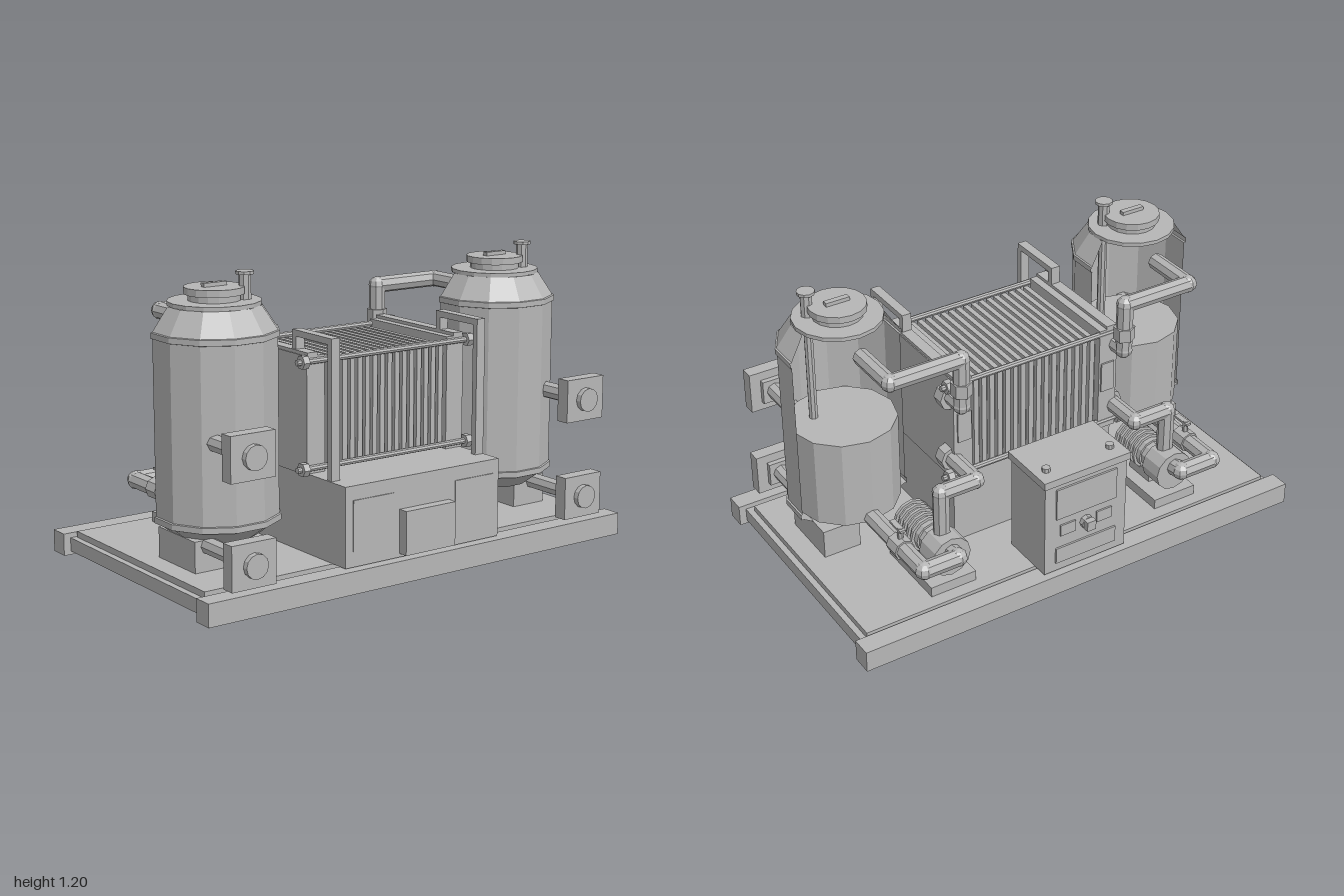
import * as THREE from 'three';

const grey = new THREE.MeshStandardMaterial({ color: 0xb6b6b6, flatShading: true, side: THREE.DoubleSide });
grey.name = 'light grey';

export function createModel() {
  const root = new THREE.Group();
  root.name = 'flowBatterySkid';

  const add = (name, geo, x = 0, y = 0, z = 0, parent = root) => {
    const m = new THREE.Mesh(geo, grey);
    m.name = name;
    m.position.set(x, y, z);
    parent.add(m);
    return m;
  };
  // box given by its min and max on each axis
  const box = (name, x0, x1, y0, y1, z0, z1, parent = root) =>
    add(name, new THREE.BoxGeometry(Math.abs(x1 - x0), y1 - y0, z1 - z0), (x0 + x1) / 2, (y0 + y1) / 2, (z0 + z1) / 2, parent);
  // cylinder between two points
  const rod = (name, a, b, r, sides = 8, parent = root) => {
    const p = new THREE.Vector3(...a), q = new THREE.Vector3(...b);
    const d = q.clone().sub(p);
    const m = add(name, new THREE.CylinderGeometry(r, r, d.length(), sides), 0, 0, 0, parent);
    m.position.copy(p).add(q).multiplyScalar(0.5);
    m.quaternion.setFromUnitVectors(new THREE.Vector3(0, 1, 0), d.normalize());
    return m;
  };
  // run of straight pipes with ball elbows
  const pipe = (name, pts, r, parent = root) => {
    const g = new THREE.Group();
    g.name = name;
    parent.add(g);
    for (let i = 0; i + 1 < pts.length; i++) {
      rod('pipeRun', pts[i], pts[i + 1], r, 8, g);
      if (i > 0) add('elbow', new THREE.SphereGeometry(r * 1.06, 8, 6), ...pts[i], g);
    }
  };

  // skid base
  box('frontBeam', -1, 1, 0.005, 0.095, 0.5, 0.582);
  box('backBeam', -1, 1, 0.005, 0.095, -0.578, -0.494);
  for (const x of [-0.935, -0.345, 0.345, 0.935]) box('crossBeam', x - 0.035, x + 0.035, 0.02, 0.075, -0.5, 0.5);
  box('deckPlate', -0.945, 0.945, 0.075, 0.1, -0.484, 0.47);

  // stack cabinet with front panels
  box('stackCabinet', -0.375, 0.37, 0.1, 0.416, -0.172, 0.55);
  box('junctionBox', -0.12, 0.12, 0.115, 0.29, 0.55, 0.592);
  for (const s of [-1, 1]) box('cabinetPanel', s * 0.15, s * 0.34, 0.16, 0.36, 0.55, 0.554);

  // cell stack
  box('cellCore', -0.3, 0.3, 0.46, 0.825, -0.165, 0.285);
  for (let i = 0; i < 16; i++) {
    const x = -0.27 + i * 0.036;
    box('cellPlate', x - 0.011, x + 0.011, 0.43, 0.845, -0.185, 0.305);
  }
  for (const y of [0.438, 0.853]) for (const z of [-0.19, 0.315]) {
    rod('tieRod', [-0.43, y, z], [0.43, y, z], 0.012, 8);
    for (const s of [-1, 1]) rod('nut', [s * 0.385, y, z], [s * 0.412, y, z], 0.028, 6);
  }
  for (const s of [-1, 1]) {
    box('endPlate', s * 0.297, s * 0.38, 0.41, 0.872, -0.197, 0.31);
    box('endPlateRidge', s * 0.33, s * 0.376, 0.872, 0.885, -0.197, 0.31);
    box('endPlateLabel', s * 0.305, s * 0.365, 0.59, 0.72, -0.204, -0.197);
    // lifting frame
    const x = s * 0.35;
    box('frameRail', x - 0.02, x + 0.02, 0.935, 0.96, 0.2, 0.455);
    box('framePost', x - 0.02, x + 0.02, 0.41, 0.94, 0.43, 0.455);
    box('frameStub', x - 0.02, x + 0.02, 0.87, 0.94, 0.2, 0.225);
  }

  // control cabinet at the back
  box('controlCabinet', -0.19, 0.19, 0.1, 0.515, -0.55, -0.31);
  box('controlLid', -0.2, 0.2, 0.515, 0.547, -0.562, -0.3);
  for (const s of [-1, 1]) rod('lidBolt', [s * 0.148, 0.547, -0.49], [s * 0.148, 0.565, -0.49], 0.017);
  box('upperPanel', -0.14, 0.14, 0.35, 0.49, -0.558, -0.55);
  box('lowerPanel', -0.14, 0.14, 0.14, 0.21, -0.558, -0.55);
  rod('switchBase', [0, 0.29, -0.55], [0, 0.29, -0.57], 0.028);
  box('switchKnob', -0.02, 0.02, 0.27, 0.312, -0.595, -0.57);
  for (const s of [-1, 1]) box('switchPlate', s * 0.05, s * 0.12, 0.265, 0.315, -0.557, -0.55);
  box('cableDuct', -0.022, 0.022, 0.1, 0.42, -0.31, -0.17);

  // both tanks share one cutaway shell shape
  const shell = [[0.155, 0.2], [0.235, 0.26], [0.247, 0.262], [0.247, 0.285], [0.24, 0.287], [0.24, 0.963],
    [0.247, 0.965], [0.247, 0.987], [0.24, 0.989], [0.18, 1.08]].map(p => new THREE.Vector2(...p));
  const arc = THREE.MathUtils.degToRad(105);

  for (const s of [-1, 1]) {
    const tank = new THREE.Group();
    tank.name = s > 0 ? 'leftTank' : 'rightTank';
    tank.position.set(s * 0.68, 0, 0.143);
    root.add(tank);
    add('tankShell', new THREE.LatheGeometry(shell, 7, -arc, 2 * arc), 0, 0, 0, tank);
    const disc = (name, r, y0, y1, x = 0, z = 0, n = 16) => rod(name, [x, y0, z], [x, y1, z], r, n, tank);
    disc('liquid', 0.215, 0.26, 0.635, 0, 0, 12);
    disc('tankLid', 0.178, 1.08, 1.096);
    disc('manholeNeck', 0.1, 1.096, 1.12);
    disc('manholeCover', 0.115, 1.12, 1.147);
    box('manholeHandle', -0.05, 0.05, 1.147, 1.162, -0.012, 0.012, tank);
    disc('ventPipe', 0.024, 1.09, 1.19, 0.1, 0.055, 8);
    disc('ventCap', 0.036, 1.19, 1.202, 0.1, 0.055, 10);
    disc('dipTube', 0.018, 0.6, 1.09, 0.1, 0.055, 8);
    box('tankFoot', s * 0.7, s * 0.86, 0.1, 0.222, 0.01, 0.27);

    // front connections
    for (const [y, z] of [[0.602, 0.32], [0.2, 0.27]]) {
      const x = s * 0.8;
      rod('frontPipe', [x, y, z], [x, y, 0.5], 0.034);
      box('flangeBack', x - 0.05, x + 0.05, y - 0.05, y + 0.05, 0.498, 0.522);
      box('flangeBlock', x - 0.096, x + 0.096, y - 0.087, y + 0.087, 0.52, 0.577);
      rod('flangeNozzle', [x, y, 0.577], [x, y, 0.6], 0.048, 12);
    }

    // return pipe from the stack to the tank top
    const xs = s * 0.375, xt = s * 0.68, xp = s * 0.53;
    pipe('returnPipe', [[xt, 1, -0.03], [xt, 1, -0.25], [xs, 1, -0.25], [xs, 0.795, -0.25], [xs, 0.795, -0.15]], 0.034);
    rod('returnValve', [xs, 0.845, -0.25], [xs, 0.9, -0.25], 0.043, 6);
    // feed pipe from the pump to the stack
    pipe('feedPipe', [[xp, 0.29, -0.345], [xp, 0.505, -0.345], [xs, 0.505, -0.345], [xs, 0.505, -0.15]], 0.034);
    for (const y of [0.505, 0.785]) rod('stackFlange', [xs, y, -0.127], [xs, y, -0.178], 0.051, 8);

    // pump
    box('pumpBase', s * 0.43, s * 0.63, 0.1, 0.143, -0.43, -0.105);
    box('pumpFoot', s * 0.485, s * 0.575, 0.14, 0.19, -0.31, -0.175);
    rod('pumpMotor', [xp, 0.245, -0.11], [xp, 0.245, -0.27], 0.068, 12);
    for (let i = 0; i < 5; i++) {
      const z = -0.105 - i * 0.032;
      rod('motorFin', [xp, 0.245, z], [xp, 0.245, z - 0.014], 0.08, 12);
    }
    rod('pumpNeck', [xp, 0.245, -0.25], [xp, 0.245, -0.33], 0.06, 10);
    rod('pumpHousing', [xp, 0.245, -0.315], [xp, 0.245, -0.418], 0.085, 12);
    pipe('suctionPipe', [[xt, 0.275, -0.03], [xt, 0.275, -0.465], [xp, 0.275, -0.465], [xp, 0.265, -0.4]], 0.036);
    rod('suctionValve', [xt, 0.275, -0.25], [xt, 0.275, -0.32], 0.044, 8);
    rod('valveStem', [xt, 0.3, -0.288], [xt, 0.365, -0.288], 0.012, 6);
    box('valveHandle', xt - 0.012, xt + 0.012, 0.352, 0.362, -0.31, -0.225);
  }
  return root;
}
